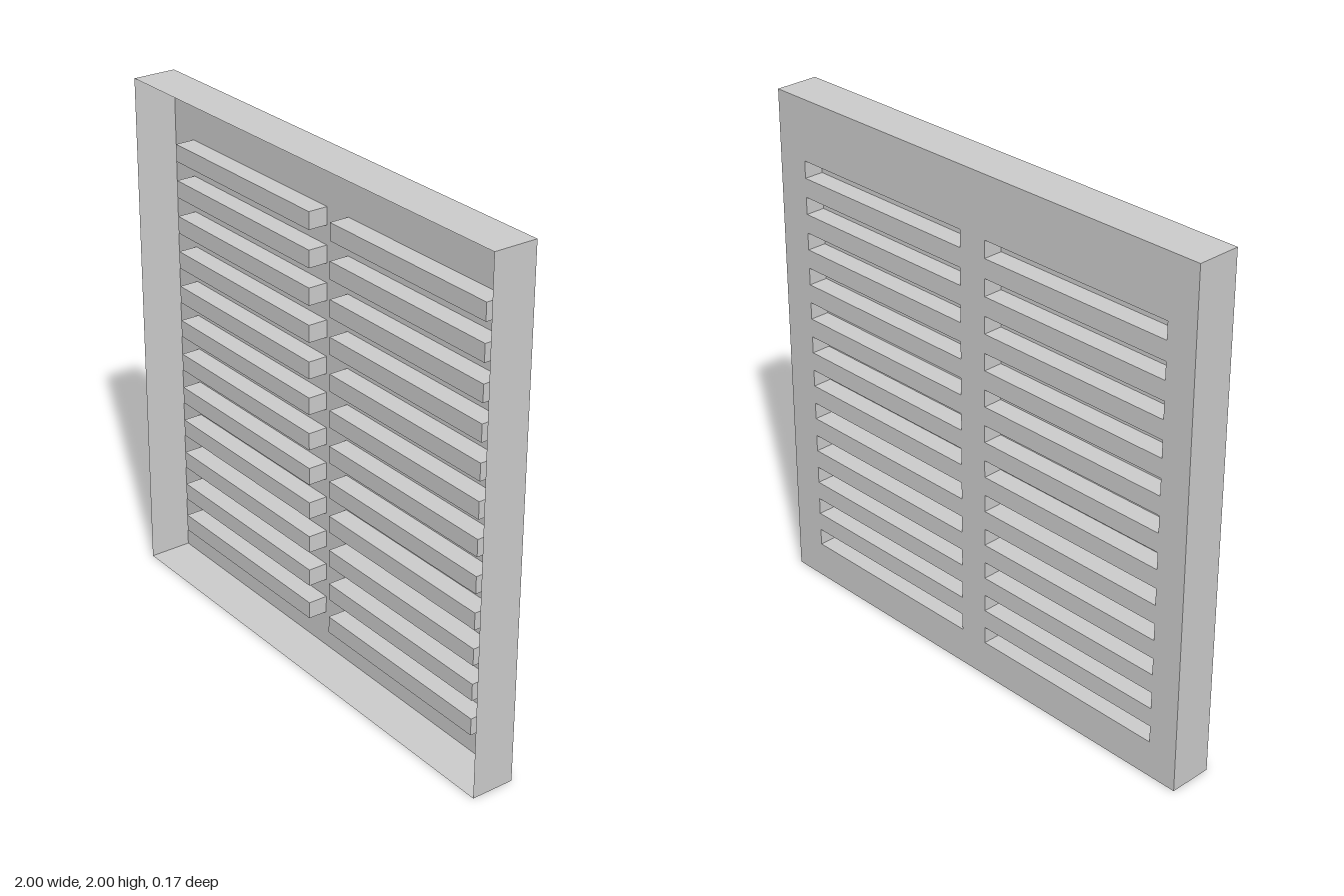
import * as THREE from 'three';

const DEPTH = 0.17;         // depth of the whole tray
const SLAT_DEPTH = 0.077;   // how far each louvre is pressed forward
const SLAT_HEIGHT = 0.067;
const ROWS = 12;
const FIRST_Y = 0.178, PITCH = 0.1411;
const COLUMNS = [[-0.88, -0.062], [0.057, 0.867]];
const BACK = -DEPTH / 2;

const material = new THREE.MeshStandardMaterial({ color: 0xcccccc, side: THREE.DoubleSide });

// Thin-walled box keeping only its first faces (order: +x, -x, +y, -y, +z, -z)
function openBox(width, height, depth, faces) {
  const geometry = new THREE.BoxGeometry(width, height, depth);
  geometry.setIndex(Array.from(geometry.index.array).slice(0, faces * 6));
  geometry.clearGroups();
  return geometry;
}

function rectangle(path, x0, y0, x1, y1) {
  return path.moveTo(x0, y0).lineTo(x1, y0).lineTo(x1, y1).lineTo(x0, y1).closePath();
}

function addPart(group, name, geometry, x, y, z) {
  const mesh = new THREE.Mesh(geometry, material);
  mesh.name = name;
  mesh.position.set(x, y, z);
  group.add(mesh);
}

export function createModel() {
  const model = new THREE.Group();
  model.name = 'ventGrille';

  // Rim: four thin walls, open towards the front
  addPart(model, 'rim', openBox(2, 2, DEPTH, 4), 0, 1, 0);

  // Back panel with slots, each covered by a louvre that is hollow from behind
  const panel = rectangle(new THREE.Shape(), -1, 0, 1, 2);
  const louvres = new THREE.Group();
  louvres.name = 'louvres';
  for (const [x0, x1] of COLUMNS) {
    const slat = openBox(x1 - x0, SLAT_HEIGHT, SLAT_DEPTH, 5);
    for (let row = 0; row < ROWS; row++) {
      const y = FIRST_Y + row * PITCH;
      panel.holes.push(rectangle(new THREE.Path(), x0, y - SLAT_HEIGHT / 2, x1, y + SLAT_HEIGHT / 2));
      addPart(louvres, 'louvre', slat, (x0 + x1) / 2, y, BACK + SLAT_DEPTH / 2);
    }
  }
  addPart(model, 'backPanel', new THREE.ShapeGeometry(panel), 0, 0, BACK);
  model.add(louvres);

  return model;
}
